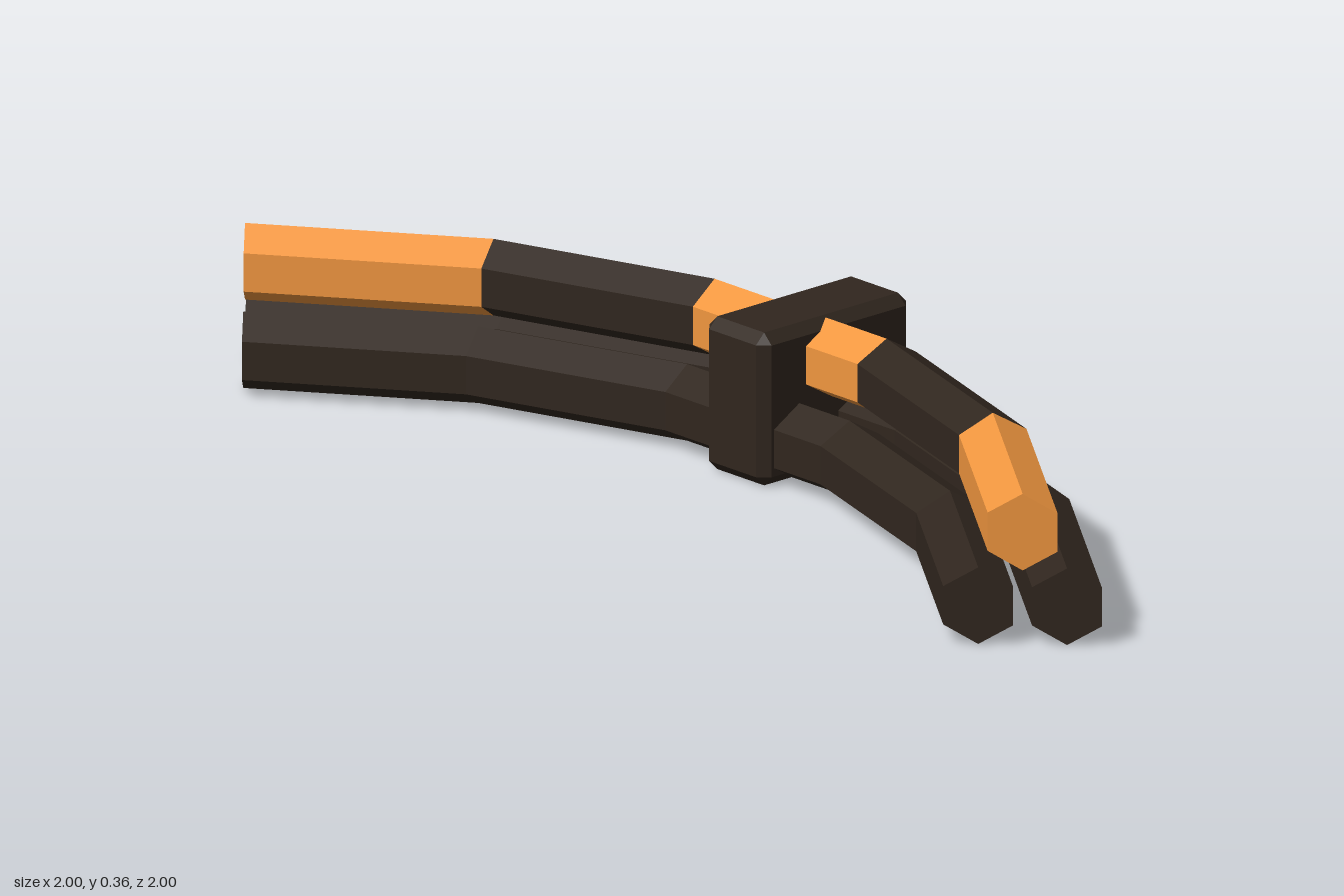
import * as THREE from 'three';
import { ConvexGeometry } from 'three/addons/geometries/ConvexGeometry.js';

const SEGMENTS = 5;   // straight runs in the quarter arc
const SIDES = 6;      // hexagonal bars
const BAR = 0.091;    // hexagon corner radius

const dark = new THREE.MeshStandardMaterial({ color: 0x30261e, flatShading: true });
const orange = new THREE.MeshStandardMaterial({ color: 0xf0963f, flatShading: true });

// Corner k of the hexagon at arc station i, around the arc centre (-1, 1)
function corner(radius, y, i, k) {
  const a = (i / SEGMENTS) * Math.PI / 2;
  const t = Math.PI / 6 + (k / SIDES) * Math.PI * 2;
  const r = radius + BAR * Math.cos(t);
  return [r * Math.cos(a) - 1, y + BAR * Math.sin(t), 1 - r * Math.sin(a)];
}

// Hexagonal bar along the arc from station i0 to i1, capped at the arc's ends
function barGeometry(radius, y, i0, i1) {
  const pos = [];
  const p = (i, k) => corner(radius, y, i, k);
  const tri = (...points) => points.forEach((q) => pos.push(...q));
  for (let i = i0; i < i1; i++) {
    for (let k = 0; k < SIDES; k++) {
      tri(p(i, k), p(i + 1, k), p(i + 1, k + 1));
      tri(p(i, k), p(i + 1, k + 1), p(i, k + 1));
    }
  }
  for (let k = 1; k < SIDES - 1; k++) {
    if (i0 === 0) tri(p(i0, 0), p(i0, k), p(i0, k + 1));
    if (i1 === SEGMENTS) tri(p(i1, 0), p(i1, k + 1), p(i1, k));
  }
  const g = new THREE.BufferGeometry();
  g.setAttribute('position', new THREE.Float32BufferAttribute(pos, 3));
  g.computeVertexNormals();
  return g;
}

// Box with every edge chamfered by b
function chamferBox(w, h, d, b) {
  const points = [];
  const half = [w / 2, h / 2, d / 2];
  for (const sx of [-1, 1]) for (const sy of [-1, 1]) for (const sz of [-1, 1]) {
    for (let face = 0; face < 3; face++) {
      const c = half.map((v, n) => (n === face ? v : v - b));
      points.push(new THREE.Vector3(sx * c[0], sy * c[1], sz * c[2]));
    }
  }
  return new ConvexGeometry(points);
}

export function createModel() {
  const model = new THREE.Group();
  const add = (name, geometry, material, parent = model) => {
    const mesh = new THREE.Mesh(geometry, material);
    mesh.name = name;
    parent.add(mesh);
    return mesh;
  };

  // Two plain bars side by side on the ground
  add('outerLowerBar', barGeometry(1.921, BAR, 0, SEGMENTS), dark);
  add('innerLowerBar', barGeometry(1.721, BAR, 0, SEGMENTS), dark);

  // Striped bar resting on top
  const upper = new THREE.Group();
  upper.name = 'upperBar';
  for (let i = 0; i < SEGMENTS; i++) {
    const material = i % 2 ? dark : orange;
    add(`upperBarStripe${i + 1}`, barGeometry(1.821, 0.267, i, i + 1), material, upper);
  }
  model.add(upper);

  // Clamp around all three bars at the middle of the arc
  const clamp = add('clamp', chamferBox(0.46, 0.363, 0.205, 0.025), dark);
  clamp.position.set(0.287, 0.1815, -0.287);
  clamp.rotation.y = Math.PI / 4;

  return model;
}
